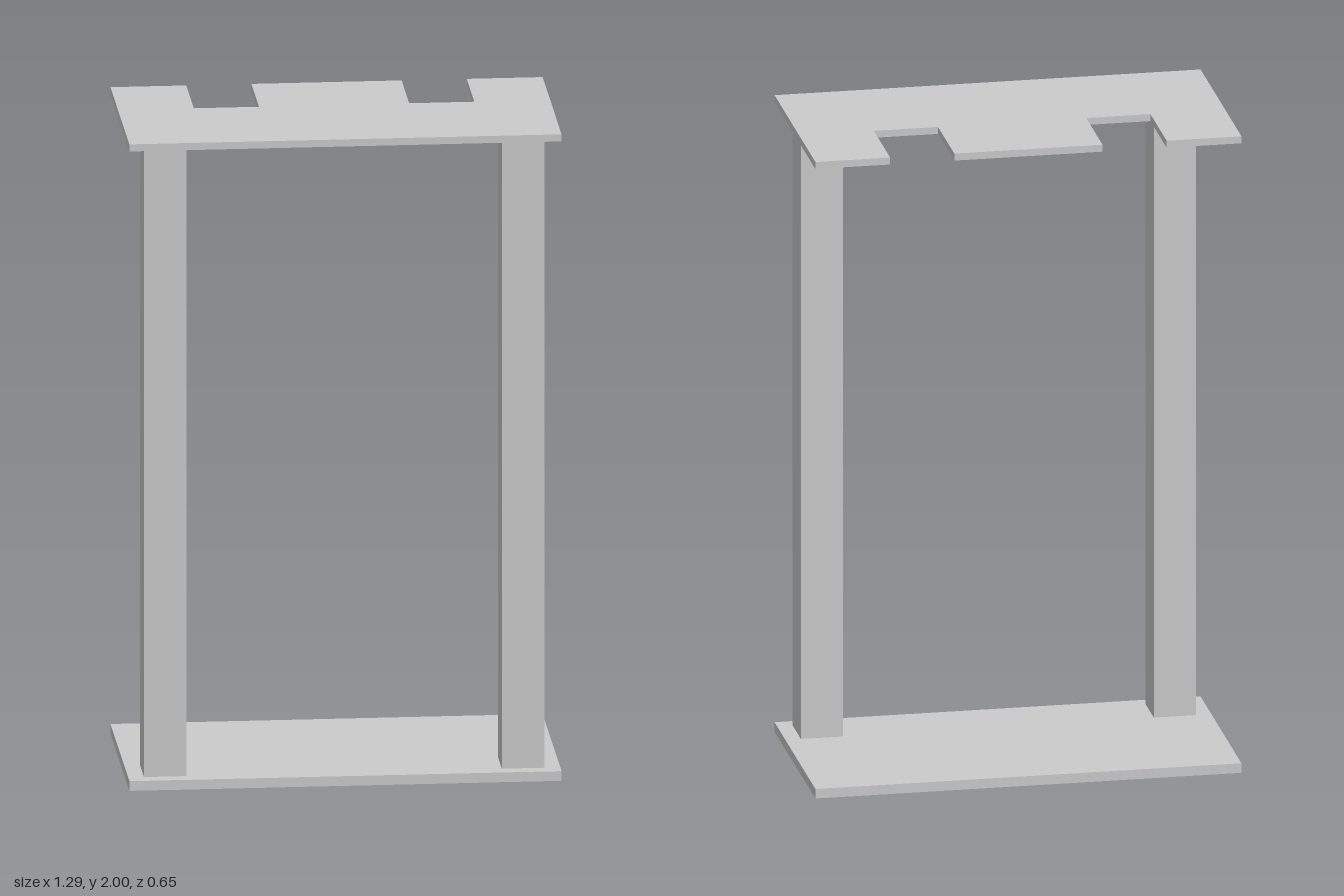
import * as THREE from 'three';

const HALF_W = 0.647, HALF_D = 0.323;
const BASE_T = 0.03, TOP_T = 0.022, HEIGHT = 2;

export function createModel() {
  const group = new THREE.Group();
  const material = new THREE.MeshStandardMaterial({ color: 0xcccccc, flatShading: true });

  const add = (name, geometry, x, y, z) => {
    const mesh = new THREE.Mesh(geometry, material);
    mesh.name = name;
    mesh.position.set(x, y, z);
    group.add(mesh);
  };

  // Base plate
  add('basePlate', new THREE.BoxGeometry(HALF_W * 2, BASE_T, HALF_D * 2), 0, BASE_T / 2, 0);

  // Two square posts near the front corners
  const postH = HEIGHT - TOP_T - BASE_T;
  for (const [name, side] of [['leftPost', 1], ['rightPost', -1]]) {
    add(name, new THREE.BoxGeometry(0.128, postH, 0.129), side * 0.536, BASE_T + postH / 2, 0.216);
  }

  // Top plate outline (x, z) with two notches cut into the back edge
  const inner = 0.225, outer = 0.42, notchZ = -0.065;
  const half = [
    [inner, -HALF_D], [inner, notchZ], [outer, notchZ], [outer, -HALF_D],
    [HALF_W, -HALF_D], [HALF_W, HALF_D],
  ];
  const mirrored = half.map(([x, z]) => [-x, z]).reverse();
  const outline = new THREE.Shape([...half, ...mirrored].map(([x, z]) => new THREE.Vector2(x, z)));
  const top = new THREE.ExtrudeGeometry(outline, { depth: TOP_T, bevelEnabled: false });
  top.rotateX(Math.PI / 2); // extrudes downward from the top surface
  add('notchedTopPlate', top, 0, HEIGHT, 0);

  return group;
}
